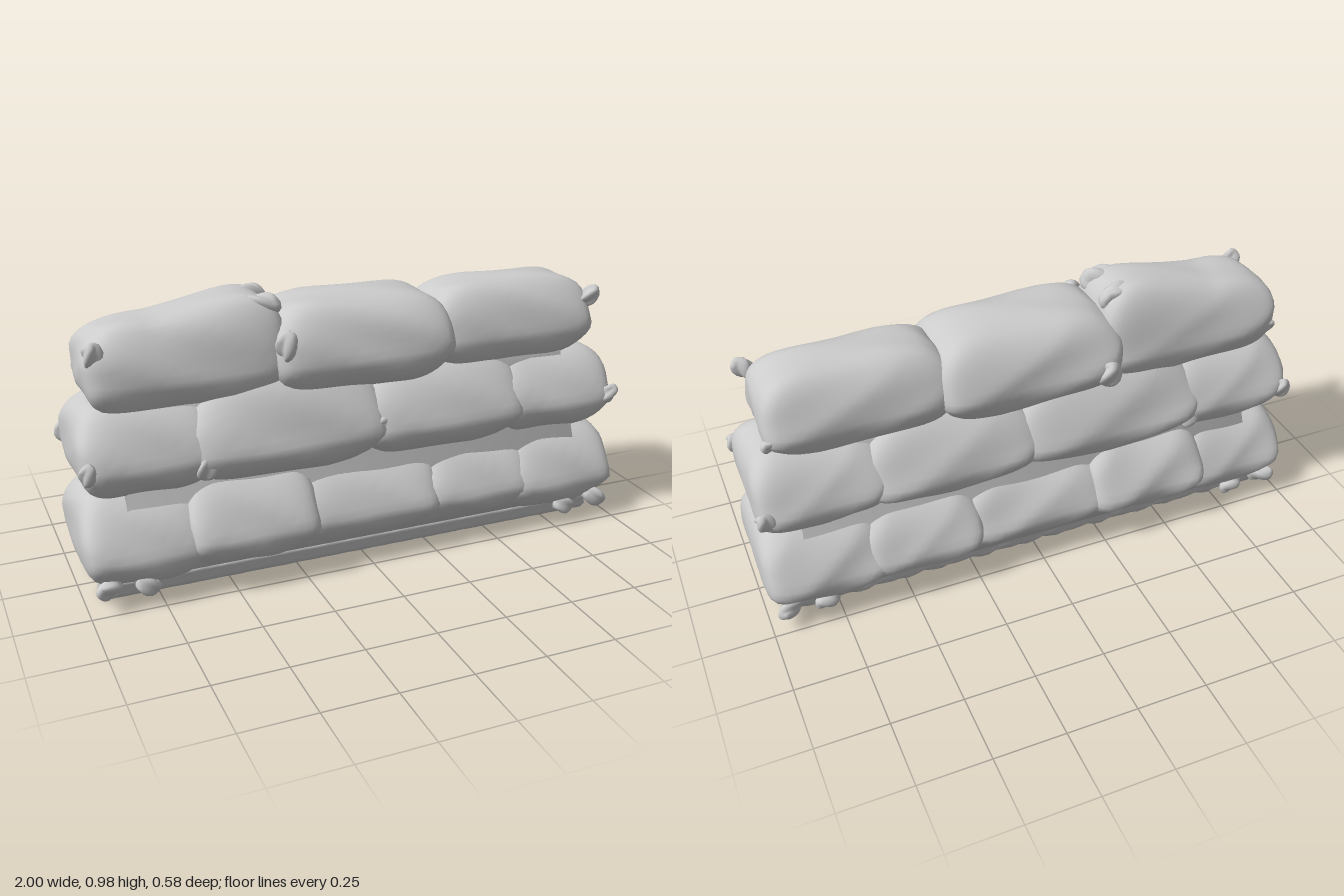
import * as THREE from 'three';
import { mergeVertices } from 'three/addons/utils/BufferGeometryUtils.js';

const material = new THREE.MeshStandardMaterial({ color: 0xcccccc });
const lerp = THREE.MathUtils.lerp;

// Broad, repeatable folds that vary with position and seed
function crease(x, y, z, seed) {
  const a = Math.sin(x * 3.1 + y * 2.3 + seed * 2.1) * Math.cos(z * 3.7 - y * 2.9 + seed);
  const b = 1 - 2 * Math.abs(Math.sin(x * 2.6 - z * 2.2 + y * 3.1 + seed * 3.7));
  return a * 0.5 + b * 0.5;
}

// Subdivided cube reshaped by a rule on its -1..1 coordinates
function shapedBox(name, segments, rule) {
  let geo = new THREE.BoxGeometry(2, 2, 2, ...segments);
  geo.deleteAttribute('uv');
  geo.deleteAttribute('normal');
  geo = mergeVertices(geo);
  const pos = geo.attributes.position;
  const p = new THREE.Vector3();
  for (let i = 0; i < pos.count; i++) {
    rule(p.fromBufferAttribute(pos, i));
    pos.setXYZ(i, p.x, p.y, p.z);
  }
  geo.computeVertexNormals();
  const mesh = new THREE.Mesh(geo, material);
  mesh.name = name;
  return mesh;
}

// Stuffed sack: pillow, boxy in plan, narrower at the top, with pinched corners
function sack({ x, y, back, front, top = 0.6, foot = 0.84, tilt = 0, peak = 0, seed }) {
  const cx = (x[0] + x[1]) / 2, hx = (x[1] - x[0]) / 2;
  const cy = (y[0] + y[1]) / 2, hy = (y[1] - y[0]) / 2;
  const cz = (front + back) / 2, hz = (front - back) / 2;
  return shapedBox('sack', [18, 12, 14], (p) => {
    const m = Math.max(Math.abs(p.x), Math.abs(p.y), Math.abs(p.z));
    const plan = (Math.abs(p.x) ** 7 + Math.abs(p.z) ** 7) ** (1 / 7);
    p.multiplyScalar(m / (plan ** 3.6 + Math.abs(p.y) ** 3.6) ** (1 / 3.6));
    const u = p.x, v = p.y, w = p.z;
    const corner = Math.abs(u * w) ** 4;
    // widest a little below the middle
    const width = v < -0.3 ? lerp(foot, 1, (v + 1) / 0.7) : lerp(1, top, ((v + 0.3) / 1.3) ** 1.3);
    const fold = crease(u, v, w, seed);
    const upper = Math.max(0, v);
    p.set(
      cx + u * hx * (1 - 0.05 * v * v) * (1 + 0.015 * fold + 0.04 * corner),
      cy + v * hy * (1 + 0.03 * fold) * (1 - 0.2 * corner)
        + upper * (tilt * Math.max(0, u + 0.3) + peak * (1 - u * u)),
      cz + w * hz * width * (1 + 0.035 * fold + 0.03 * corner),
    );
  });
}

// Gathered cloth corner: crumpled lump stretched along a direction
function ear(position, direction, size, seed) {
  const mesh = shapedBox('sackCorner', [5, 6, 5], (p) => {
    const y = p.y;
    p.normalize();
    const fold = 1 + 0.22 * Math.sin(Math.atan2(p.z, p.x) * 3 + y * 2 + seed);
    p.set(p.x * size * fold + p.y * size * 0.2, p.y * size * 1.4, p.z * size * 0.7 * fold);
  });
  mesh.position.set(...position);
  mesh.quaternion.setFromUnitVectors(
    new THREE.Vector3(0, 1, 0), new THREE.Vector3(...direction).normalize());
  return mesh;
}

export function createModel() {
  const wall = new THREE.Group();
  wall.name = 'sandbagWall';

  // Three courses of sacks, staggered and getting narrower upwards
  const courses = [
    ['bottomCourse', [
      { x: [-1, -0.58], y: [0.05, 0.39], back: -0.265, front: 0.265 },
      { x: [-0.66, -0.19], y: [0.07, 0.41], back: -0.285, front: 0.29, peak: 0.01 },
      { x: [-0.27, 0.28], y: [0.07, 0.39], back: -0.265, front: 0.265 },
      { x: [0.22, 0.65], y: [0.07, 0.39], back: -0.28, front: 0.26 },
      { x: [0.56, 1], y: [0.05, 0.39], back: -0.27, front: 0.265 },
    ]],
    ['middleCourse', [
      { x: [-0.99, -0.53], y: [0.36, 0.69], back: -0.24, front: 0.235 },
      { x: [-0.64, 0.08], y: [0.36, 0.69], back: -0.25, front: 0.25, peak: 0.06 },
      { x: [-0.01, 0.62], y: [0.36, 0.68], back: -0.25, front: 0.245, peak: 0.03 },
      { x: [0.53, 0.99], y: [0.36, 0.68], back: -0.24, front: 0.235 },
    ]],
    ['topCourse', [
      { x: [-0.94, -0.26], y: [0.62, 0.94], back: -0.19, front: 0.175, top: 0.7, tilt: 0.065 },
      { x: [-0.32, 0.34], y: [0.62, 0.95], back: -0.225, front: 0.22, top: 0.7 },
      { x: [0.28, 0.92], y: [0.63, 0.945], back: -0.19, front: 0.175, top: 0.66 },
    ]],
  ];
  courses.forEach(([name, sacks], row) => {
    const course = new THREE.Group();
    course.name = name;
    sacks.forEach((s, i) => course.add(sack({ ...s, seed: row * 5 + i * 1.7 + 1 })));
    wall.add(course);
  });

  // Fill behind the joints
  wall.add(shapedBox('core', [1, 4, 1], (p) => {
    const t = (p.y + 1) / 2;
    p.set(p.x * lerp(0.88, 0.78, t), lerp(0.1, 0.79, t), p.z * lerp(0.21, 0.11, t));
  }));

  // Pair of long flattened rolls under the bottom course
  for (const side of [-1, 1]) {
    wall.add(shapedBox('baseRoll', [60, 4, 6], (p) => {
      const v = p.y, w = p.z;
      const ragged = crease(p.x * 12, v, w, side * 2);
      p.set(
        p.x * (0.945 - 0.02 * w * w + 0.008 * ragged),
        0.053 + v * 0.043 * (1 - 0.25 * w * w) + 0.004 * ragged * (1 - v) / 2,
        side * 0.096 + w * lerp(0.065, 0.085, (v + 1) / 2) + 0.005 * ragged,
      );
    }));
  }

  // Gathered corners at the ends of the courses
  for (const side of [-1, 1]) {
    wall.add(
      ear([side * 0.91, 0.86, 0.125], [side * 0.4, 1, 0.2], 0.032, 1),
      ear([side * 0.9, 0.74, -0.15], [side, 0.1, -0.4], 0.026, 2),
      ear([side * 0.965, 0.5, 0.215], [side * 0.3, 1, 0.2], 0.03, 3),
      ear([side * 0.965, 0.49, -0.22], [side * 0.3, 1, -0.2], 0.03, 4),
    );
    // Crumpled cloth tucked under the end sacks
    for (const z of [-1, 1]) {
      wall.add(
        ear([side * 0.93, 0.09, z * 0.22], [side, -0.2, z * 0.4], 0.036, 5),
        ear([side * 0.8, 0.075, z * 0.215], [side, 0.1, 0], 0.032, 6),
      );
    }
  }

  // Gathered mouths and loose corners at the joints
  wall.add(
    ear([-0.33, 0.945, 0.07], [1, 0.1, 0.4], 0.045, 1),
    ear([-0.33, 0.945, -0.06], [1, 0.1, -0.4], 0.045, 2),
    ear([-0.28, 0.83, 0.18], [-0.4, 1, 0], 0.04, 3),
    ear([-0.25, 0.74, -0.215], [-0.3, 1, -0.2], 0.038, 4),
    ear([0.04, 0.5, 0.2], [0.3, 1, 0.2], 0.035, 5),
    ear([-0.58, 0.46, 0.21], [-0.3, 1, 0.2], 0.035, 6),
    ear([-0.58, 0.46, -0.21], [-0.3, 1, -0.2], 0.035, 8),
  );
  return wall;
}
